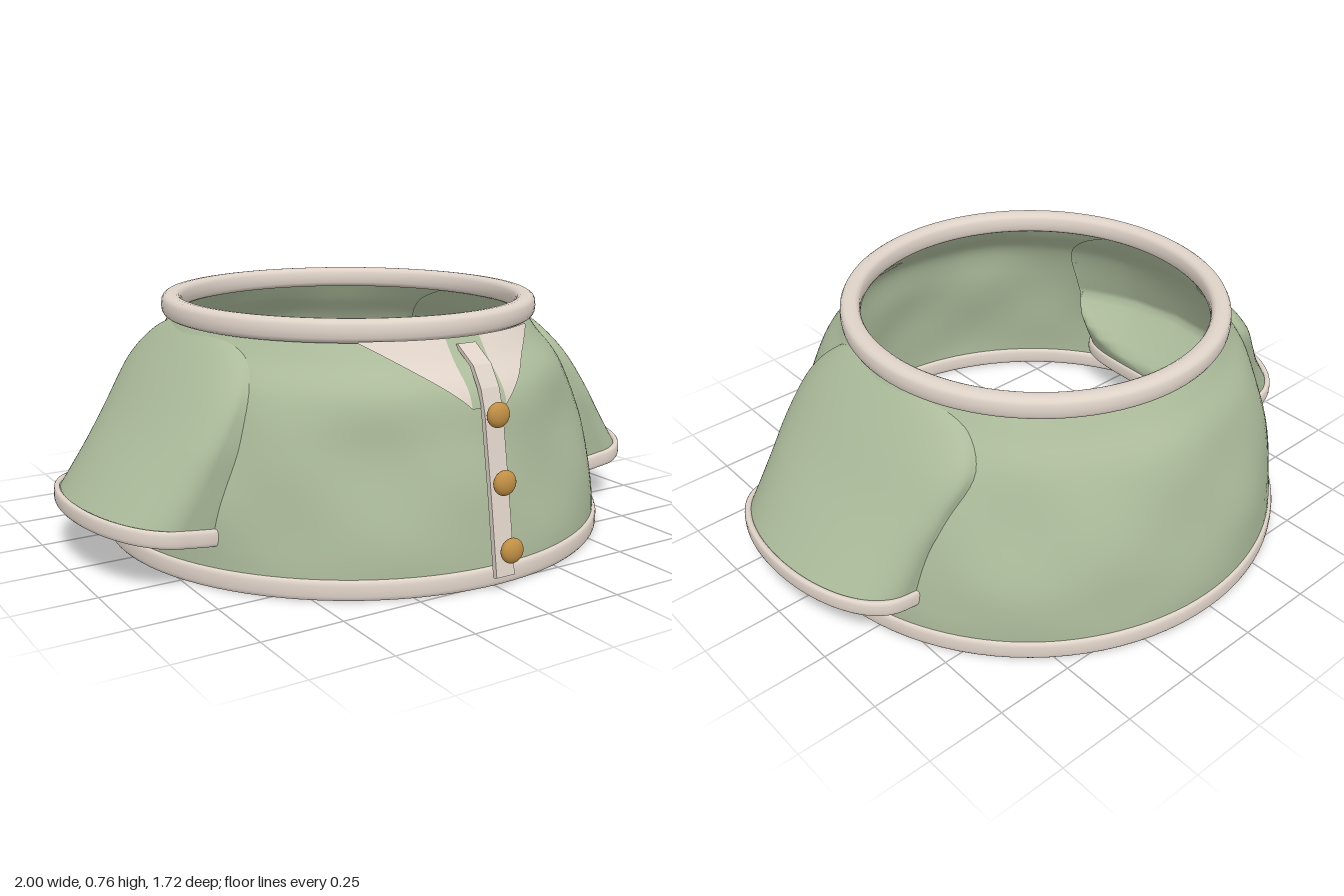
import * as THREE from 'three';

const mat = (name, color, side = THREE.DoubleSide) =>
  Object.assign(new THREE.MeshStandardMaterial({ color, side }), { name });

const spow = (v, p) => Math.sign(v) * Math.pow(Math.abs(v), p);

// Catmull-Rom sampling of a table of rows, all components together
function sampleRows(rows, t) {
  const f = Math.min(Math.max(t, 0), 1) * (rows.length - 1);
  const i = Math.min(Math.floor(f), rows.length - 2), u = f - i;
  const at = k => rows[Math.min(Math.max(k, 0), rows.length - 1)];
  return rows[0].map((_, c) => {
    const a = at(i - 1)[c], b = at(i)[c], d = at(i + 1)[c], e = at(i + 2)[c];
    return b + 0.5 * u * (d - a + u * (2 * a - 5 * b + 4 * d - e + u * (3 * (b - d) + e - a)));
  });
}
const smoothRows = (rows, n) => Array.from({ length: n + 1 }, (_, i) => sampleRows(rows, i / n));

// Skin rings [y, cx, cz, rx, rz, tilt]; inner side (-x) may be squarer than the outer one
function loft(rows, { segs = 96, outer = 2, inner = 2, closed = false, fold = () => 0 } = {}) {
  const pos = [], index = [];
  rows.forEach(([y, cx, cz, rx, rz, tilt]) => {
    for (let j = 0; j < segs; j++) {
      const a = j / segs * Math.PI * 2, c = Math.cos(a), s = Math.sin(a);
      const p = 2 / (c >= 0 ? outer : inner), k = fold(a, y);
      const dx = spow(c, p) * (rx + k);
      pos.push(cx + dx, y + tilt * dx, cz + spow(s, p) * (rz + k));
    }
  });
  const n = rows.length, last = closed ? n : n - 1;
  for (let i = 0; i < last; i++) for (let j = 0; j < segs; j++) {
    const k = (j + 1) % segs, m = (i + 1) % n;
    const a = i * segs + j, b = i * segs + k, c = m * segs + j, d = m * segs + k;
    index.push(a, c, b, b, c, d);
  }
  const g = new THREE.BufferGeometry();
  g.setAttribute('position', new THREE.Float32BufferAttribute(pos, 3));
  g.setIndex(index);
  g.computeVertexNormals();
  return g;
}

// Rounded trim band of half width w and half height h running along one ring
function band([y, cx, cz, rx, rz, tilt], w, h, options) {
  const rows = Array.from({ length: 16 }, (_, i) => {
    const a = i / 16 * Math.PI * 2;
    const d = w * spow(Math.cos(a), 0.7);
    return [y + h * spow(Math.sin(a), 0.7), cx, cz, rx + d, rz + d, tilt];
  });
  return loft(rows, { ...options, closed: true });
}

// Body rings from hem to neck
const bodyRows = smoothRows([
  [0.02, 0.015, -0.043, 0.812, 0.803, 0],
  [0.12, 0.015, -0.045, 0.808, 0.798, 0],
  [0.25, 0.012, -0.048, 0.79, 0.778, 0],
  [0.4, 0.005, -0.045, 0.74, 0.743, 0],
  [0.55, 0, -0.033, 0.675, 0.703, 0],
  [0.64, 0, -0.04, 0.61, 0.63, 0],
  [0.71, 0, -0.043, 0.565, 0.58, 0],
], 40);

// Body ring interpolated at height y
function bodyRing(y) {
  const i = Math.max(1, bodyRows.findIndex(r => r[0] >= y));
  const a = bodyRows[i - 1], b = bodyRows[i];
  const u = Math.min(1, (y - a[0]) / (b[0] - a[0]));
  return a.map((v, c) => v + (b[c] - v) * u);
}

// Keep the upper sleeve from reaching through the body
function wrapOnBody(geometry) {
  const p = geometry.attributes.position;
  for (let i = 0; i < p.count; i++) {
    const x = p.getX(i), y = p.getY(i), z = p.getZ(i);
    const [, , cz, rx, rz] = bodyRing(y);
    const r = Math.hypot(x / rx, (z - cz) / rz);
    const least = 0.98 - 1.5 * Math.max(0, 0.36 - y);
    if (r < least) p.setXYZ(i, x * least / r, y, cz + (z - cz) * least / r);
  }
  geometry.computeVertexNormals();
  return geometry;
}

// Sheet held just above the front of the body, from x0 to x1 and from low(u) up to the neck
function frontSheet(x0, x1, low) {
  const sheet = new THREE.PlaneGeometry(1, 1, 14, 10);
  const p = sheet.attributes.position;
  for (let i = 0; i < p.count; i++) {
    const u = p.getX(i) + 0.5, v = p.getY(i) + 0.5;
    const x = x0 + (x1 - x0) * u, y = low(u) + (0.7 - low(u)) * v;
    const [, , cz, rx, rz] = bodyRing(y);
    p.setXYZ(i, x, y, cz + rz * Math.sqrt(1 - (x / rx) ** 2) + 0.042);
  }
  sheet.computeVertexNormals();
  return sheet;
}

export function createModel() {
  const group = new THREE.Group();
  const green = mat('sage fabric', 0xacbb9b);
  const trim = mat('beige trim', 0xdfd3c8);
  const gold = mat('golden button', 0xc08f45, THREE.FrontSide);
  const add = (name, geometry, material, parent = group) => {
    const mesh = new THREE.Mesh(geometry, material);
    mesh.name = name;
    parent.add(mesh);
    return mesh;
  };

  // Draped body with soft folds fading out at hem and neck
  const fold = (a, y) => {
    const fade = Math.max(0, Math.sin(Math.PI * (y - 0.05) / 0.65));
    return 0.006 * fade * (Math.sin(7 * a + 9 * y) + 0.6 * Math.sin(11 * a - 14 * y));
  };
  add('body', loft(bodyRows, { segs: 128, fold }), green);

  // Trim rings at neck and hem
  add('neckBand', band([0.725, 0, -0.043, 0.572, 0.586, 0], 0.032, 0.035), trim);
  add('hemBand', band([0.031, 0.015, -0.043, 0.81, 0.802, 0], 0.013, 0.03), trim);

  // Flared sleeves with cuffs, mirrored about x
  const sleeveRows = smoothRows([
    [0.17, 0.79, -0.005, 0.19, 0.358, 0.15],
    [0.3, 0.715, -0.008, 0.169, 0.37, 0.1],
    [0.42, 0.655, -0.018, 0.137, 0.385, 0.05],
    [0.55, 0.58, -0.04, 0.117, 0.385, 0],
    [0.64, 0.535, -0.045, 0.085, 0.31, 0],
    [0.69, 0.515, -0.045, 0.055, 0.2, 0],
  ], 28);
  const shape = { segs: 96, outer: 2.05, inner: 5 };
  const sleeveGeo = wrapOnBody(loft(sleeveRows, shape));
  const cuffGeo = band([0.163, 0.79, -0.005, 0.196, 0.36, 0.12], 0.012, 0.026, shape);
  const flapGeo = frontSheet(0.06, 0.3, u => 0.52 + 0.175 * Math.pow(u, 0.9));
  const backingGeo = frontSheet(0, 0.06, () => 0.52);
  for (const [name, turn] of [['left', 1], ['right', -1]]) {
    const half = new THREE.Group();
    half.name = name + 'SleeveAndCollar';
    half.scale.x = turn;
    group.add(half);
    add('sleeve', sleeveGeo, green, half);
    add('cuff', cuffGeo, trim, half);
    add('collarFlap', flapGeo, trim, half);
    add('collarOpening', backingGeo, green, half);
  }

  // Button strip standing slightly off the front
  const outline = [[0.812, 0.045], [0.775, 0.29], [0.738, 0.51], [0.718, 0.575], [0.68, 0.635], [0.605, 0.685]];
  const back = outline.map(([z, y]) => [z - 0.016, y - 0.004]).reverse();
  const profile = new THREE.Shape([...outline, ...back].map(([z, y]) => new THREE.Vector2(z, y)));
  const strip = new THREE.ExtrudeGeometry(profile, { depth: 0.064, bevelEnabled: false });
  strip.translate(0, 0, -0.032).rotateY(-Math.PI / 2);
  add('buttonStrip', strip, trim);

  // Three flattened buttons
  const buttonGeo = new THREE.SphereGeometry(0.037, 28, 18).scale(1, 1, 0.6);
  for (const [y, z] of [[0.505, 0.758], [0.317, 0.795], [0.13, 0.836]])
    add('button', buttonGeo, gold).position.set(0, y, z);

  return group;
}
